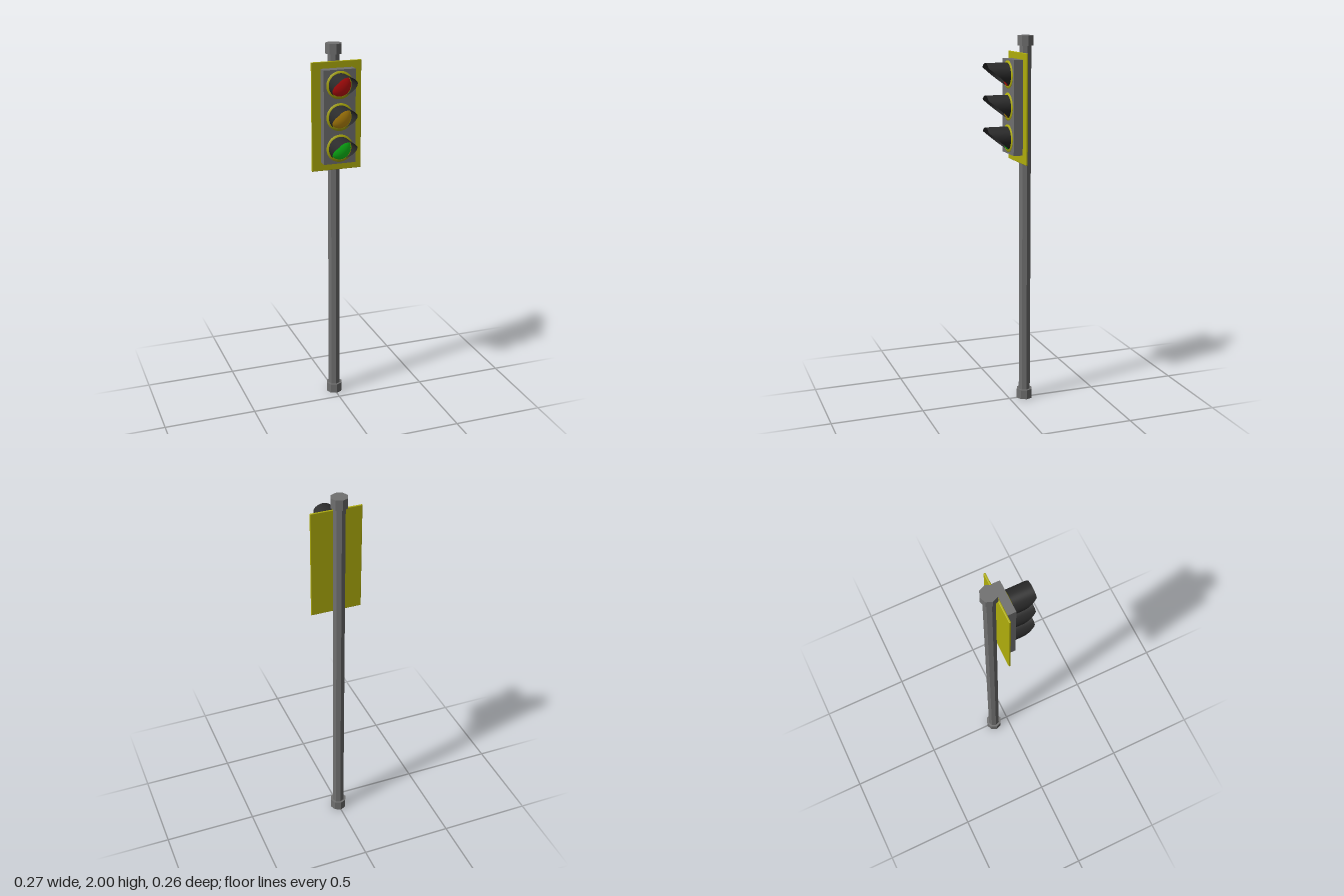
import * as THREE from 'three';
import { RoundedBoxGeometry } from 'three/addons/geometries/RoundedBoxGeometry.js';

const material = (color, extra = {}) => {
  const m = new THREE.MeshStandardMaterial({ color, ...extra });
  return m;
};

function addMesh(parent, name, geometry, mat, x = 0, y = 0, z = 0) {
  const mesh = new THREE.Mesh(geometry, mat);
  mesh.name = name;
  mesh.position.set(x, y, z);
  parent.add(mesh);
  return mesh;
}

// Open tube along +z whose front edge slopes back from the brow to the bottom
function visorGeometry(radius, length, browY) {
  const geo = new THREE.CylinderGeometry(radius, radius, 1, 64, 1, true);
  geo.rotateX(Math.PI / 2).translate(0, 0, 0.5);
  const p = geo.attributes.position;
  for (let i = 0; i < p.count; i++) {
    const reach = Math.min(1, (p.getY(i) + radius) / (browY + radius));
    p.setZ(i, p.getZ(i) * length * Math.max(0.02, reach));
  }
  return geo;
}

export function createModel() {
  const model = new THREE.Group();
  model.name = 'trafficLight';

  const grey = material(0x707070);
  const greyFaceted = material(0x707070, { flatShading: true });
  const yellow = material(0xb0ae0c);
  const yellowRim = material(0xb0ae0c, { side: THREE.DoubleSide });
  const black = material(0x2b2b2b, { side: THREE.DoubleSide });

  // Octagonal pole with a collar at each end
  const poleZ = -0.088;
  addMesh(model, 'pole', new THREE.CylinderGeometry(0.033, 0.033, 1.94, 8), greyFaceted, 0, 1, poleZ);
  const collar = new THREE.CylinderGeometry(0.045, 0.045, 0.053, 8);
  addMesh(model, 'baseCollar', collar, greyFaceted, 0, 0.0265, poleZ);
  addMesh(model, 'topCollar', collar, greyFaceted, 0, 1.9735, poleZ);

  // Backplate and signal housing
  addMesh(model, 'backplate', new RoundedBoxGeometry(0.273, 0.577, 0.01, 2, 0.003), yellow, 0, 1.626, -0.047);
  addMesh(model, 'housing', new THREE.BoxGeometry(0.174, 0.495, 0.05), grey, 0, 1.632, -0.017);

  // Shared signal parts: flared rim, shallow domed lens, cutaway visor
  const rim = new THREE.LatheGeometry(
    [[0.073, 0], [0.073, 0.002], [0.063, 0.006], [0.058, 0.006]].map(([r, h]) => new THREE.Vector2(r, h)), 48);
  rim.rotateX(Math.PI / 2);
  const lens = new THREE.SphereGeometry(0.06, 40, 12, 0, Math.PI * 2, 0, Math.PI / 2);
  lens.rotateX(Math.PI / 2).scale(1, 1, 0.33);
  const visor = visorGeometry(0.062, 0.124, 0.038);

  const signals = [['red', 0xd01010, 1.8], ['amber', 0xcc960e, 1.633], ['green', 0x10d81c, 1.467]];
  for (const [name, color, y] of signals) {
    const signal = new THREE.Group();
    signal.name = name + 'Signal';
    signal.position.set(0, y, 0.008);
    addMesh(signal, 'rim', rim, yellowRim);
    addMesh(signal, 'lens', lens, material(color), 0, 0, 0.002);
    addMesh(signal, 'visor', visor, black);
    model.add(signal);
  }
  return model;
}
